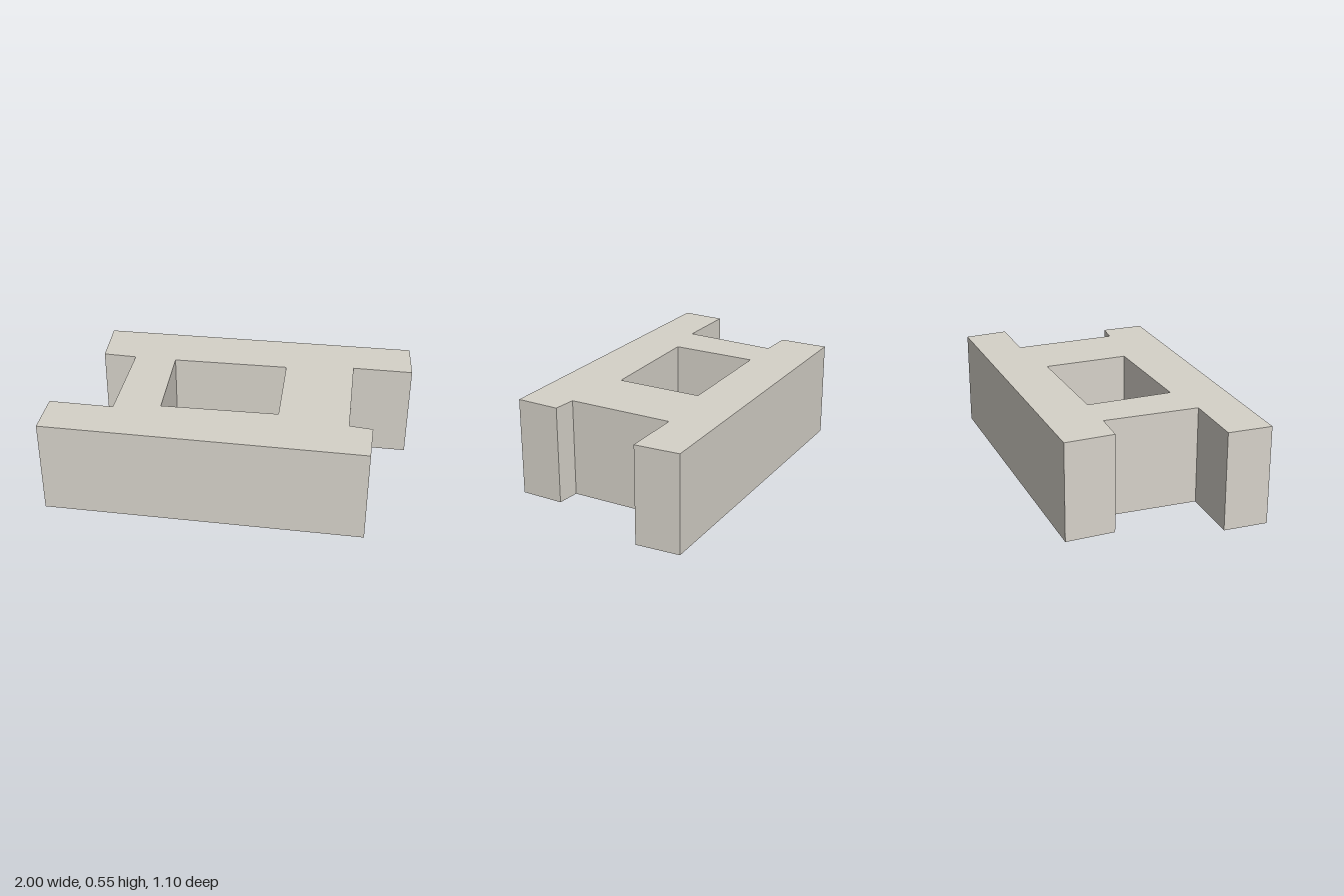
import * as THREE from 'three';

const HEIGHT = 0.55;

// Plan outline (clockwise) and opening (counter-clockwise) as [x, z] corners
const OUTLINE = [
  [-0.8, -0.55], [0.985, -0.54], [1, -0.292], [0.665, -0.298],
  [0.665, 0.289], [0.793, 0.305], [0.787, 0.548], [-1, 0.502],
  [-0.99, 0.256], [-0.631, 0.267], [-0.608, -0.264], [-0.796, -0.274],
];
const OPENING = [[-0.371, -0.259], [-0.371, 0.225], [0.278, 0.225], [0.278, -0.259]];

const toPoints = (corners) => corners.map(([x, z]) => new THREE.Vector2(x, -z));

export function createModel() {
  const stone = new THREE.MeshStandardMaterial({ color: 0xd6d2c9 });
  stone.name = 'warm grey stone';

  // Offset H-shaped plan with a rectangular shaft through it
  const plan = new THREE.Shape(toPoints(OUTLINE));
  plan.holes.push(new THREE.Path(toPoints(OPENING)));

  const geometry = new THREE.ExtrudeGeometry(plan, { depth: HEIGHT, bevelEnabled: false });
  geometry.rotateX(-Math.PI / 2); // stand the extrusion upright

  const block = new THREE.Mesh(geometry, stone);
  block.name = 'hollowBlock';

  const model = new THREE.Group();
  model.name = 'block';
  model.add(block);
  return model;
}
